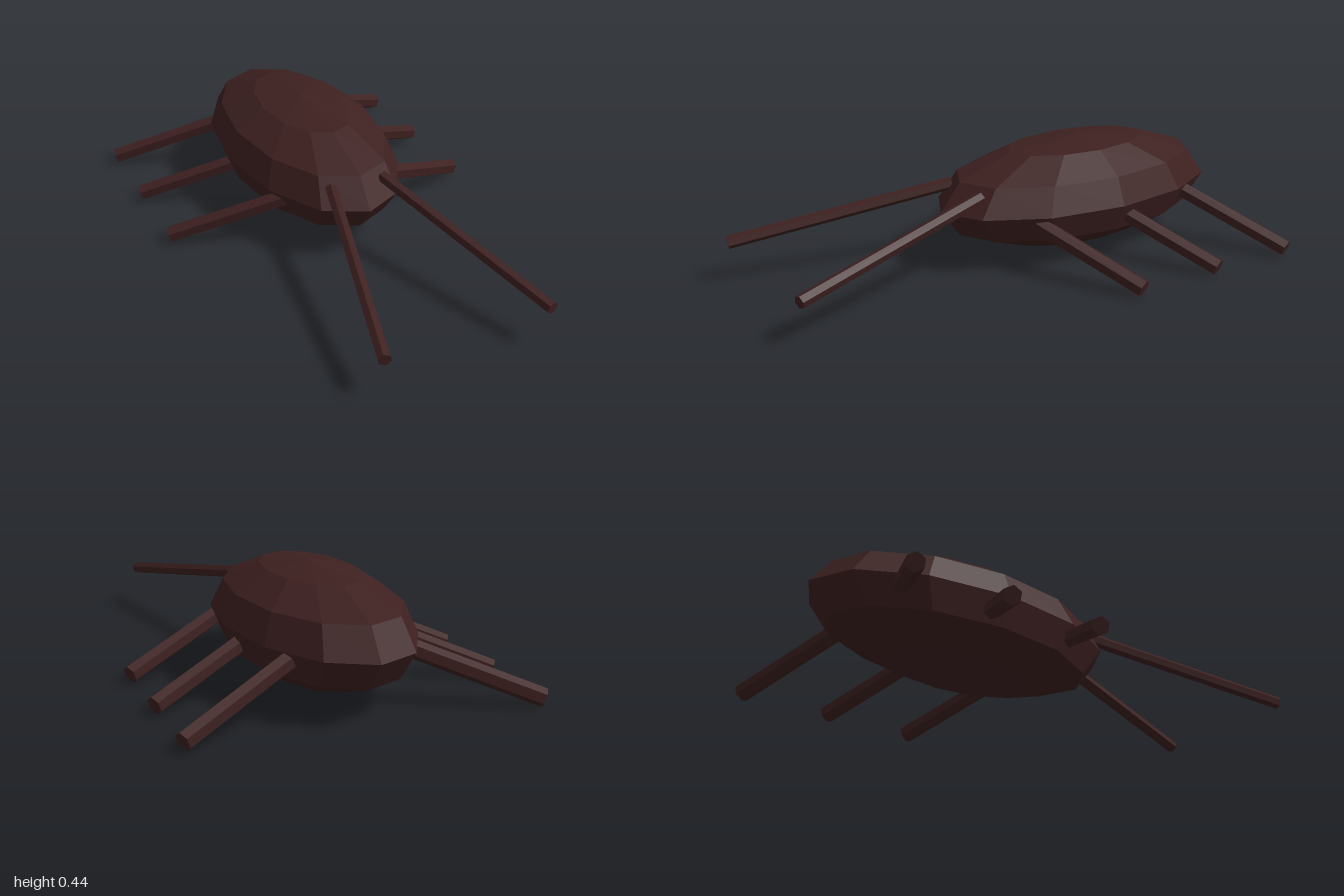
import * as THREE from 'three';

const shell = new THREE.MeshStandardMaterial({ color: 0x3e2020, flatShading: true });
shell.name = 'darkBrownShell';

// Six-sided rod between two points
function rod(name, from, to, radius) {
  const a = new THREE.Vector3(...from);
  const b = new THREE.Vector3(...to);
  const dir = b.clone().sub(a);
  const mesh = new THREE.Mesh(new THREE.CylinderGeometry(radius, radius, dir.length(), 6), shell);
  mesh.position.copy(a).add(b).multiplyScalar(0.5);
  mesh.quaternion.setFromUnitVectors(new THREE.Vector3(0, 1, 0), dir.normalize());
  mesh.name = name;
  return mesh;
}

export function createModel() {
  const group = new THREE.Group();
  group.name = 'insect';

  // Faceted oval body
  const body = new THREE.Mesh(new THREE.SphereGeometry(1, 12, 6), shell);
  body.name = 'body';
  body.scale.set(0.325, 0.215, 0.63);
  body.position.set(0, 0.23, -0.37);
  group.add(body);

  for (const side of [1, -1]) {
    const label = side > 0 ? 'left' : 'right';

    // Three swept-back legs per side
    [-0.22, -0.585, -0.945].forEach((z, i) => {
      group.add(rod(`${label}Leg${i + 1}`, [side * 0.2, 0.207, z + 0.2], [side * 0.635, 0.034, z], 0.034));
    });

    // Long feeler reaching forward
    group.add(rod(`${label}Antenna`, [side * 0.108, 0.3, 0.15], [side * 0.322, 0.16, 0.992], 0.025));
  }
  return group;
}
